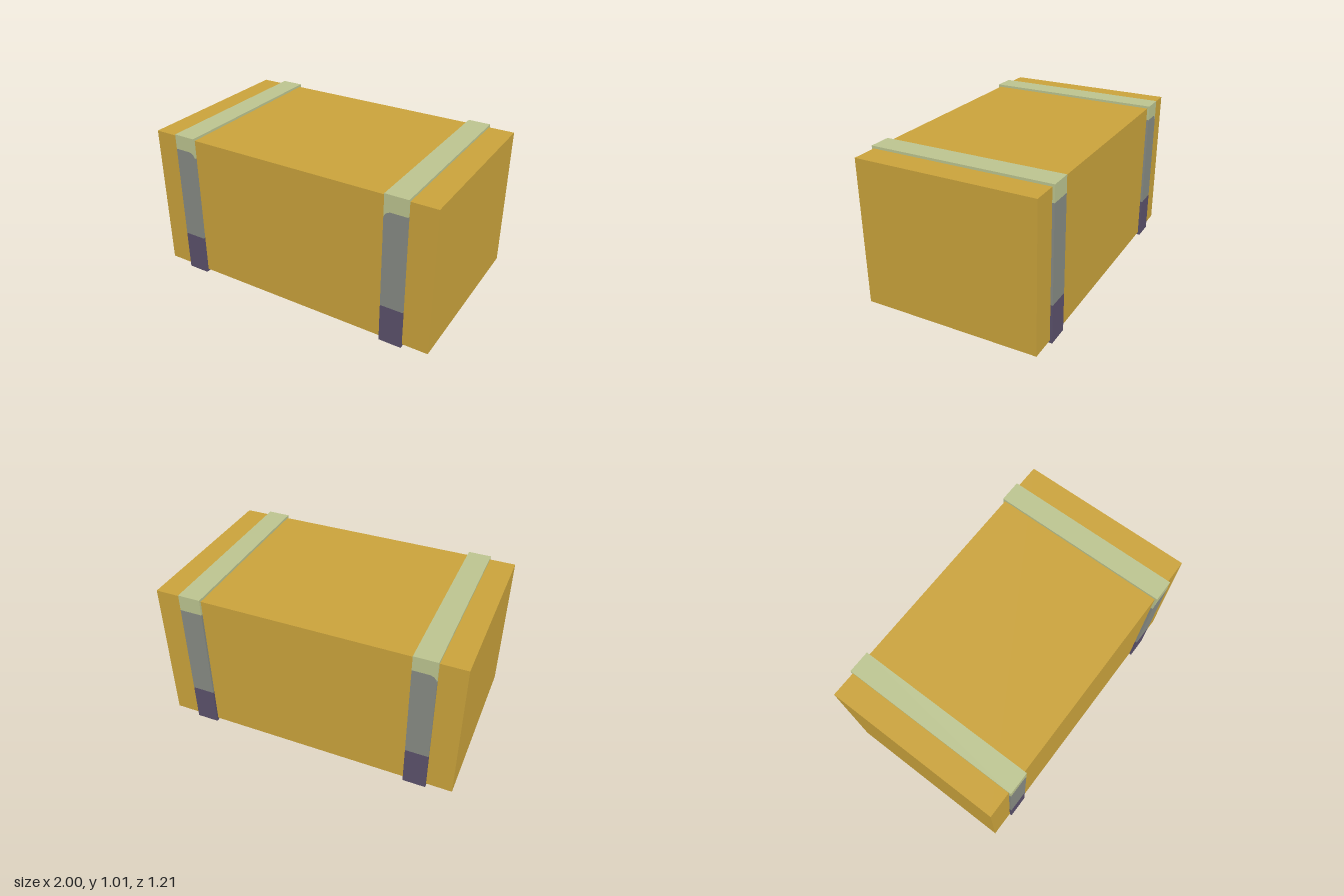
import * as THREE from 'three';

const mat = (name, color) => {
  const m = new THREE.MeshStandardMaterial({ color });
  m.name = name;
  return m;
};

export function createModel() {
  const wood = mat('ochre', 0xc9a23b);
  const green = mat('paleGreen', 0xbbc38f);
  const grey = mat('grey', 0x868a83);
  const dark = mat('darkPurple', 0x5a516b);

  const model = new THREE.Group();
  model.name = 'strappedCrate';

  const addBox = (parent, name, material, x0, x1, y0, y1, z0, z1) => {
    const mesh = new THREE.Mesh(new THREE.BoxGeometry(x1 - x0, y1 - y0, z1 - z0), material);
    mesh.position.set((x0 + x1) / 2, (y0 + y1) / 2, (z0 + z1) / 2);
    mesh.name = name;
    parent.add(mesh);
  };

  // Upright strap piece extruded from its outline
  const addPanel = (parent, name, material, points, z0, z1) => {
    const shape = new THREE.Shape(points.map(([x, y]) => new THREE.Vector2(x, y)));
    const geo = new THREE.ExtrudeGeometry(shape, { depth: z1 - z0, bevelEnabled: false });
    const mesh = new THREE.Mesh(geo, material);
    mesh.position.z = z0;
    mesh.name = name;
    parent.add(mesh);
  };

  // Crate body
  addBox(model, 'crateBody', wood, -1, 1, 0.018, 0.998, -0.592, 0.592);

  const W = 0.075, OUT = 0.607, IN = 0.58, TOP = 0.99, BOTTOM = 0.025;

  // A strap is a ring around the crate: top and bottom bars plus banded uprights.
  // corners: which side of the grey band is rounded on front and back (-1, 0 or 1).
  const addStrap = (name, x, low, high, corners) => {
    const strap = new THREE.Group();
    strap.name = name;
    strap.position.x = x;
    addBox(strap, 'topBar', green, -W, W, TOP, 1.014, -OUT, OUT);
    addBox(strap, 'bottomBar', dark, -W, W, 0, BOTTOM, -OUT, OUT);
    [1, -1].forEach((side, i) => {
      const [z0, z1] = side > 0 ? [IN, OUT] : [-OUT, -IN];
      const c = corners[i];
      // Boundary between grey and green, left to right
      let edge = [[-W, high], [W, high]];
      if (c) {
        edge = [[-W, high], [0.035, high], [0.055, high - 0.008], [0.068, high - 0.022], [W, high - 0.037]];
        if (c < 0) edge = edge.map(([px, py]) => [-px, py]).reverse();
      }
      addBox(strap, 'lowerBand', dark, -W, W, BOTTOM, low, z0, z1);
      addPanel(strap, 'middleBand', grey, [[-W, low], [W, low], ...[...edge].reverse()], z0, z1);
      addPanel(strap, 'upperBand', green, [...edge, [W, TOP], [-W, TOP]], z0, z1);
    });
    model.add(strap);
  };

  addStrap('leftStrap', 0.755, 0.262, 0.905, [-1, 0]);
  addStrap('rightStrap', -0.757, 0.275, 0.914, [1, -1]);

  return model;
}
